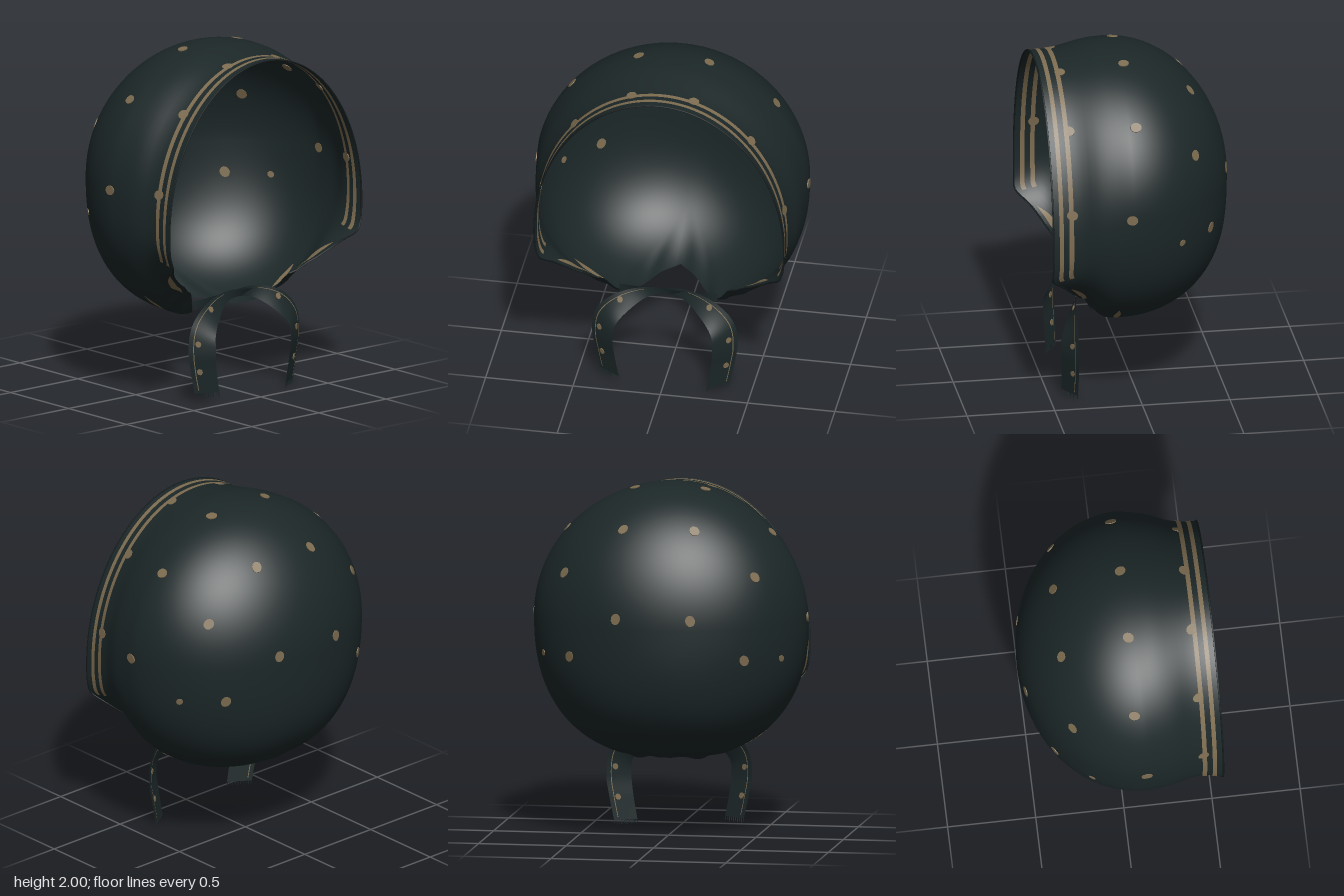
import * as THREE from 'three';
import { mergeVertices } from 'three/addons/utils/BufferGeometryUtils.js';

const V = (x, y, z) => new THREE.Vector3(x, y, z);
const DEG = Math.PI / 180;

// Smooth interpolation through [position, value] pairs
function keyed(k, x) {
  const n = k.length - 1;
  if (x <= k[0][0]) return k[0][1];
  if (x >= k[n][0]) return k[n][1];
  let i = 0;
  while (x > k[i + 1][0]) i++;
  const slope = j => {
    const a = k[Math.max(j - 1, 0)], b = k[Math.min(j + 1, n)];
    return (b[1] - a[1]) / (b[0] - a[0]);
  };
  const h = k[i + 1][0] - k[i][0], t = (x - k[i][0]) / h, t2 = t * t, t3 = t2 * t;
  return (2 * t3 - 3 * t2 + 1) * k[i][1] + (t3 - 2 * t2 + t) * h * slope(i)
    + (3 * t2 - 2 * t3) * k[i + 1][1] + (t3 - t2) * h * slope(i + 1);
}

// Cross-section of the hood at depth z: width, top, bottom, centre height, lower squareness
const BACK = -0.55;
const WIDTH = [[0.1, 0.778], [0.27, 0.755], [0.375, 0.72], [0.48, 0.708], [0.54, 0.715]];
const TOP = [[0.1, 1.997], [0.2, 1.995], [0.32, 1.975], [0.43, 1.957], [0.54, 1.955]];
const BOTTOM = [[0.1, 0.43], [0.2, 0.45], [0.32, 0.575], [0.455, 0.65], [0.54, 0.69]];
const CENTRE = [[0.1, 1.24], [0.32, 1.15], [0.54, 1.05]];
const POWER = [[0.1, 0.85], [0.32, 0.83], [0.54, 0.62]];
// Depth of the open edge by angle from the crown: face rim, cheek edge, then neck hole
const EDGE = [[0, 0.54], [100, 0.54], [111, 0.535], [125, 0.46], [154, 0.32], [164, 0.2], [172, 0], [180, -0.15]];
const edgeZ = a => keyed(EDGE, Math.abs(a) / DEG);

function section(z) {
  const q = (Math.min(z, 0.1) - 0.1) / 0.65;
  const e = Math.sqrt(Math.max(0, 1 - q * q));
  const cy = keyed(CENTRE, z);
  return {
    cy, w: keyed(WIDTH, z) * e, up: (keyed(TOP, z) - cy) * e,
    down: (cy - keyed(BOTTOM, z)) * Math.pow(e, 0.7), p: keyed(POWER, z),
  };
}

// Point on the hood at angle a (0 = crown) and depth z, with gathers near the neck
function surf(a, z) {
  const s = section(z), c = Math.cos(a), n = Math.sin(a);
  const p = c > 0 ? 1 : s.p;
  const y = c > 0 ? s.up * c : -s.down * Math.pow(-c, p);
  const x = s.w * Math.sign(n) * Math.pow(Math.abs(n), p);
  const near = THREE.MathUtils.smoothstep(Math.abs(a) / DEG, 130, 165)
    * THREE.MathUtils.smoothstep(z, edgeZ(a) - 0.3, edgeZ(a));
  const k = 1 + 0.011 * near * Math.cos(a * 36);
  return V(x * k, s.cy + y * k, z);
}

function surfNormal(a, z) {
  const d = 0.004;
  const da = surf(a + d, z).sub(surf(a - d, z));
  const dz = surf(a, z + d).sub(surf(a, z - d));
  return da.cross(dz).normalize();
}

// Grid of points from fn(u, v)
function sheet(fn, nu, nv) {
  const pos = [], idx = [];
  for (let i = 0; i <= nu; i++) for (let j = 0; j <= nv; j++) pos.push(...fn(i / nu, j / nv).toArray());
  for (let i = 0; i < nu; i++) for (let j = 0; j < nv; j++) {
    const a = i * (nv + 1) + j, b = a + nv + 1;
    idx.push(a, b, a + 1, b, b + 1, a + 1);
  }
  let g = new THREE.BufferGeometry();
  g.setAttribute('position', new THREE.Float32BufferAttribute(pos, 3));
  g.setIndex(idx);
  g = mergeVertices(g, 1e-5);
  g.computeVertexNormals();
  return g;
}

export function createModel() {
  const model = new THREE.Group();
  model.name = 'bonnet';
  const mat = (name, color) => {
    const m = new THREE.MeshStandardMaterial({ color, side: THREE.DoubleSide });
    m.name = name;
    return m;
  };
  const cloth = mat('dark teal cloth', 0x1c2728);
  const gold = mat('dull gold print', 0x7d6c50);
  const hemDark = mat('dark hem', 0x141c1d);
  const add = (name, geo, m) => {
    const mesh = new THREE.Mesh(geo, m);
    mesh.name = name;
    model.add(mesh);
    return mesh;
  };

  // Hood shell, from the back pole to the open edge
  add('hood', sheet((u, v) => {
    const a = (u * 2 - 1) * Math.PI;
    return surf(a, BACK + (edgeZ(a) - BACK) * (1 - Math.cos(v * Math.PI / 2)));
  }, 288, 48), cloth);

  // Hem along the face edge
  const rim = [];
  for (let i = -50; i <= 50; i++) rim.push(surf(i * 3.08 * DEG, edgeZ(i * 3.08 * DEG)));
  add('faceHem', new THREE.TubeGeometry(new THREE.CatmullRomCurve3(rim), 160, 0.005, 5), hemDark);

  // Printed marks, inside and outside: angle range, then depth as a function of angle and v
  const print = (name, a0, a1, depth) => {
    for (const off of [-0.004, 0.004]) {
      add(name, sheet((u, v) => {
        const a = (a0 + (a1 - a0) * u) * DEG, z = depth(a, v, Math.sin(Math.PI * u));
        return surf(a, z).addScaledVector(surfNormal(a, z), off);
      }, Math.ceil(Math.abs(a1 - a0) / 1.5), 2), gold);
    }
  };
  print('frontStripe', -112, 112, (a, v) => edgeZ(a) - 0.035 - 0.025 * v);
  print('rearStripe', -112, 112, (a, v) => edgeZ(a) - 0.092 - 0.026 * v);

  // Thin spot that shows on both sides of the cloth
  const spotGeo = new THREE.CylinderGeometry(1, 1, 1, 12);
  const spot = (name, p, n, r) => {
    const m = add(name, spotGeo, gold);
    m.position.copy(p);
    m.quaternion.setFromUnitVectors(V(0, 1, 0), n);
    m.scale.set(r, 0.008, r * 1.15);
  };
  const spots = [
    [0.21, 1.8, -0.32], [0.57, 1.54, -0.295], [0.21, 1.3, -0.523], [0.49, 1.1, -0.39],
    [0.21, 2, 0.06], [0.59, 1.74, 0.05], [0.78, 1.25, 0.1], [0.7, 1.09, -0.2],
    [0.18, 1.94, 0.42], [0.51, 1.71, 0.42], [0.7, 1.27, 0.43],
  ];
  for (const side of [-1, 1]) {
    for (const [x, y, z] of spots) {
      const s = section(z), h = y > s.cy ? s.up : s.down;
      const a = side * Math.atan2(x / s.w, (y - s.cy) / h);
      spot('hoodSpot', surf(a, z), surfNormal(a, z), y === 1.09 ? 0.018 : 0.028);
    }
    // Marks along the cheek edge and in the gathers
    print('cheekMark', side * 126, side * 149, (a, v, bow) => edgeZ(a) - 0.028 - 0.05 * v * bow);
    print('gatherMark', side * 137, side * 154, (a, v, bow) => 0.14 + 0.036 * (v - 0.5) * bow);
  }

  // Tie ribbons: centre path and half-width vectors, crossing under the chin
  const path = new THREE.CatmullRomCurve3([
    V(-0.28, 0.525, 0.245), V(-0.1, 0.56, 0.29), V(0.1, 0.565, 0.31), V(0.25, 0.5, 0.36),
    V(0.335, 0.4, 0.385), V(0.35, 0.28, 0.39), V(0.335, 0.16, 0.385), V(0.31, 0.025, 0.385)]);
  const half = new THREE.CatmullRomCurve3([
    V(0, 0.026, 0), V(0, 0.02, 0.01), V(0.012, 0.03, 0), V(0.042, 0.045, -0.015),
    V(0.06, 0.03, -0.035), V(0.065, 0, -0.042), V(0.062, 0, -0.04), V(0.06, 0, -0.038)]);
  for (const side of [-1, 1]) {
    const lift = side < 0 ? 0.03 : 0, forward = side < 0 ? 0.01 : 0;
    const place = p => V(p.x * side, p.y + lift * (1 - p.y / 0.6), p.z + forward);
    const normalAt = t => {
      const d = path.getPoint(Math.min(1, t + 0.01)).sub(path.getPoint(Math.max(0, t - 0.01)));
      const n = d.cross(half.getPoint(t)).normalize();
      return n.z < 0 ? n.negate() : n;
    };
    const at = (t, f, off = 0) =>
      place(path.getPoint(t).addScaledVector(half.getPoint(t), f).addScaledVector(normalAt(t), off));
    const tie = side > 0 ? 'leftTie' : 'rightTie';
    add(tie, sheet((u, v) => at(u, v * 2 - 1), 60, 4), cloth);
    for (const off of [-0.004, 0.004])
      add(tie + 'Line', sheet((u, v) => at(0.3 + 0.68 * u, 0.6 + 0.07 * v, off), 40, 1), gold);
    for (const t of [0.42, 0.66, 0.86]) {
      const n = normalAt(t);
      spot(tie + 'Spot', at(t, 0.3), V(n.x * side, n.y, n.z), 0.016);
    }
    // Frayed ends
    for (let i = 0; i < 10; i++) {
      const p = at(1, -0.95 + i * 1.9 / 9);
      const len = 0.024 - 0.006 * (i % 2);
      const thread = add(tie + 'Fringe', new THREE.BoxGeometry(0.004, len, 0.003), cloth);
      thread.position.set(p.x, p.y - len / 2, p.z);
    }
  }
  return model;
}
